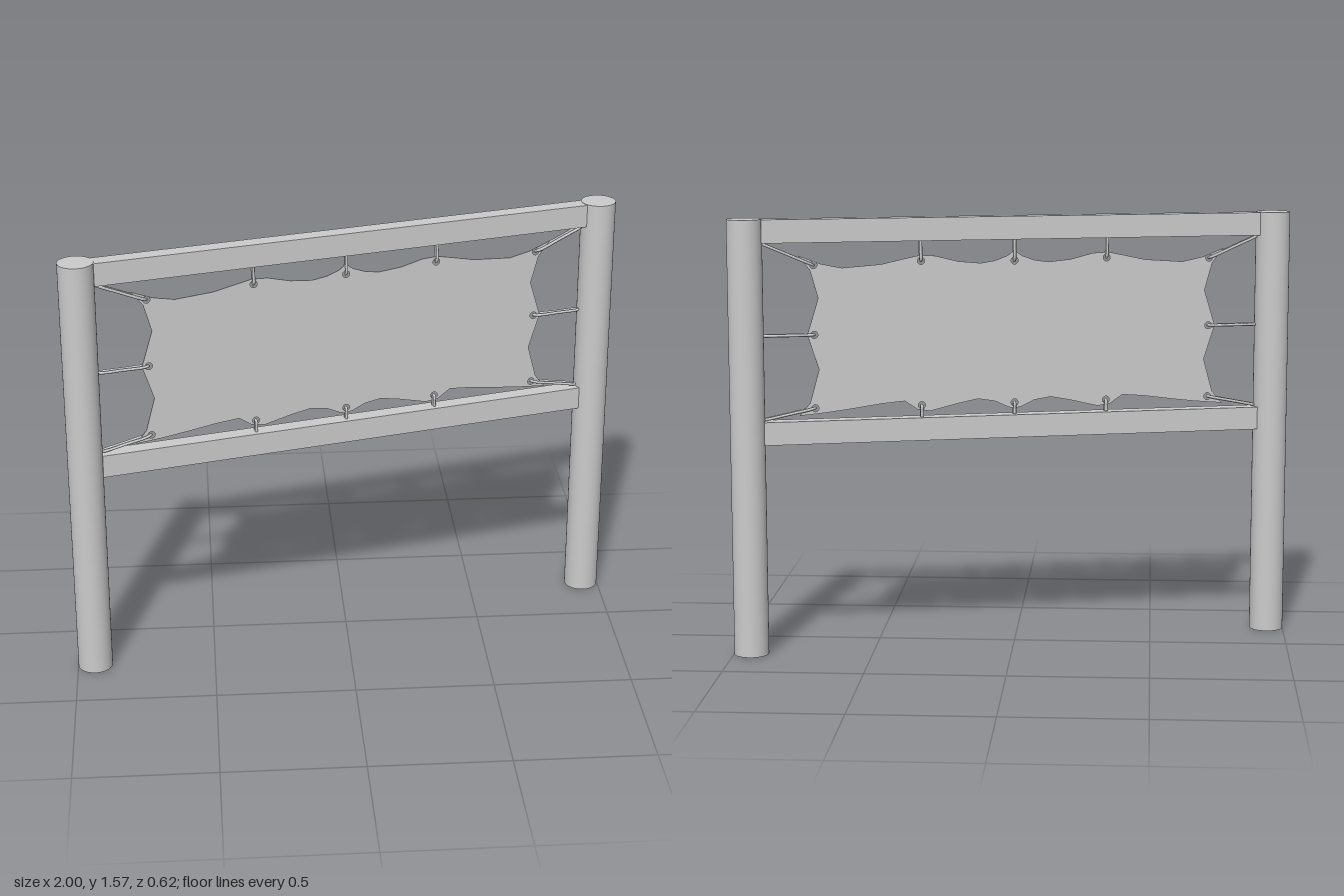
import * as THREE from 'three';

const TURN = 0.26; // the whole frame stands turned about y
const STRETCH = 1 / Math.cos(TURN);

export function createModel() {
  const model = new THREE.Group();
  model.name = 'bannerFrame';
  const material = new THREE.MeshStandardMaterial({ color: 0xcccccc });

  function add(geometry, name, x = 0, y = 0, z = 0) {
    const mesh = new THREE.Mesh(geometry, material);
    mesh.name = name;
    mesh.position.set(x, y, z);
    model.add(mesh);
    return mesh;
  }

  // Round posts
  for (const side of [-1, 1]) {
    add(new THREE.CylinderGeometry(0.0625, 0.0625, 1.57, 40), side > 0 ? 'leftPost' : 'rightPost', side * 0.97, 0.785, 0);
  }

  // Rails between the posts
  add(new THREE.BoxGeometry(1.826, 0.083, 0.06), 'topRail', 0, 1.527, 0);
  add(new THREE.BoxGeometry(1.826, 0.083, 0.06), 'bottomRail', 0, 0.807, 0);

  // Half outline of the sheet, from top centre round to bottom centre
  const half = [
    [0, 1.445], [0.025, 1.425], [0.07, 1.408], [0.12, 1.4], [0.2, 1.408], [0.28, 1.429], [0.335, 1.432],
    [0.4, 1.418], [0.47, 1.402], [0.605, 1.392], [0.68, 1.408], [0.755, 1.438],
    [0.715, 1.385], [0.688, 1.285], [0.727, 1.155], [0.688, 1.03], [0.72, 0.91], [0.757, 0.865],
    [0.66, 0.874], [0.58, 0.884], [0.47, 0.9], [0.39, 0.907], [0.345, 0.875], [0.3, 0.868],
    [0.2, 0.893], [0.13, 0.907], [0.07, 0.897], [0.025, 0.875], [0, 0.868],
  ].map(([x, y]) => new THREE.Vector2(x * STRETCH, y));
  const mirrored = half.slice(1, -1).reverse().map((p) => new THREE.Vector2(-p.x, p.y));
  const outline = new THREE.Shape([...half, ...mirrored]);

  // Eyelet position followed by the point on the frame where its cord is tied
  const ties = [[0, 1.407, 0, 1.49], [0, 0.89, 0, 0.846]];
  for (const s of [-1, 1]) {
    ties.push(
      [s * 0.33, 1.412, s * 0.332, 1.49],
      [s * 0.33, 0.89, s * 0.33, 0.846],
      [s * 0.703, 1.404, s * 0.88, 1.483],
      [s * 0.703, 1.155, s * 0.88, 1.155],
      [s * 0.703, 0.891, s * 0.88, 0.854],
    );
  }
  for (const [x, y] of ties) {
    const hole = new THREE.Path();
    hole.absarc(x * STRETCH, y, 0.013, 0, Math.PI * 2, true);
    outline.holes.push(hole);
  }
  const sheetGeometry = new THREE.ExtrudeGeometry(outline, { depth: 0.004, bevelEnabled: false, curveSegments: 8 });
  add(sheetGeometry, 'sheet', 0, 0, -0.002);

  // Cords: narrow loops passing through each eyelet, in front of and behind the sheet
  ties.forEach(([x0, y0, x1, y1], i) => {
    const start = new THREE.Vector3(x0 * STRETCH, y0, 0);
    const end = new THREE.Vector3(x1 * STRETCH, y1, 0);
    const at = (t, z) => start.clone().lerp(end, t).setZ(z);
    const loop = new THREE.CatmullRomCurve3(
      [at(0, 0), at(0.12, 0.008), at(0.5, 0.007), at(0.95, 0.006), at(1, 0), at(0.95, -0.006), at(0.5, -0.007), at(0.12, -0.008)],
      true,
    );
    add(new THREE.TubeGeometry(loop, 32, 0.0055, 6, true), 'cord' + (i + 1));
  });

  model.rotation.y = TURN;
  return model;
}
